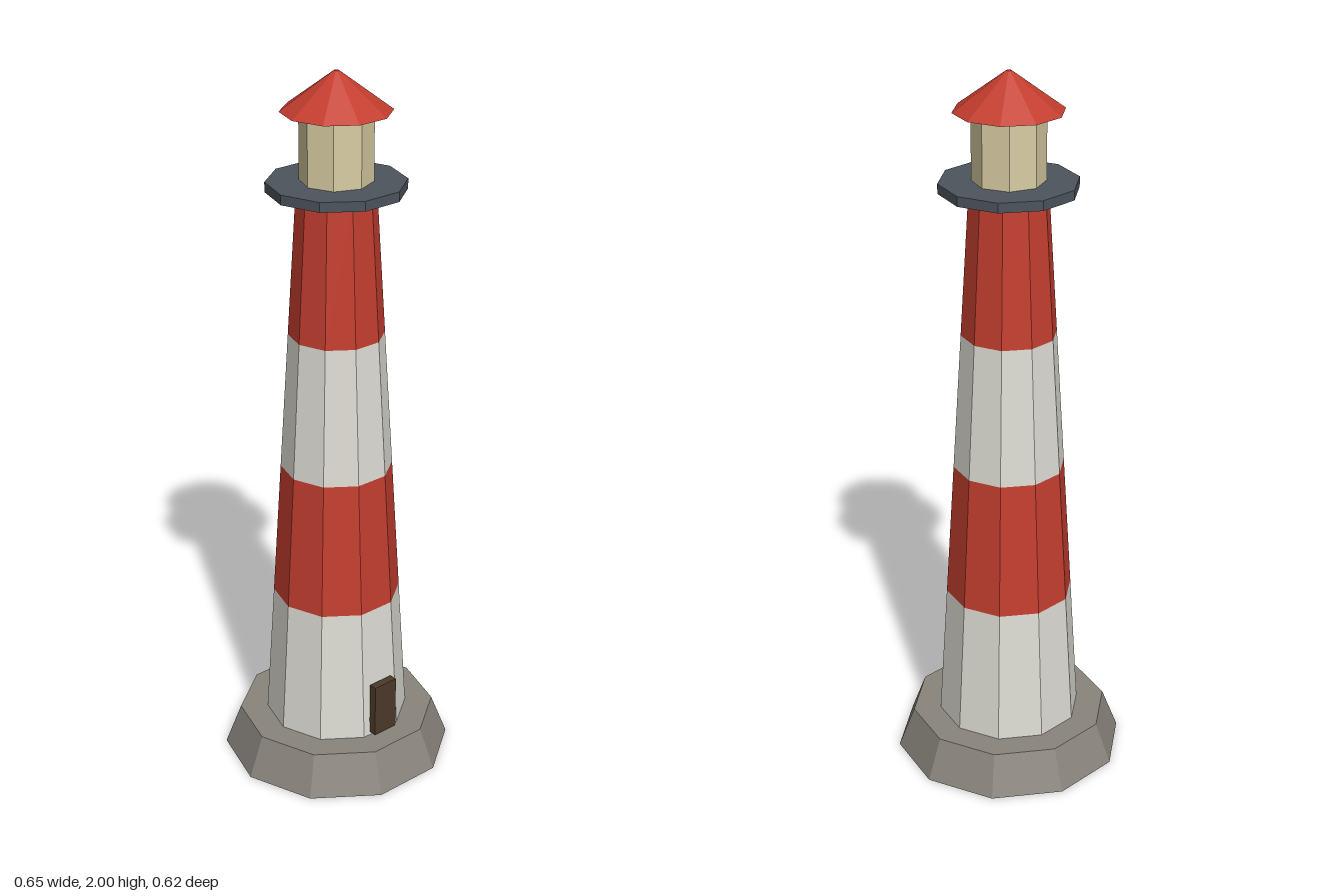
import * as THREE from 'three';

const paint = (name, color) => {
  const m = new THREE.MeshStandardMaterial({ color, flatShading: true });
  m.name = name;
  return m;
};

export function createModel() {
  const group = new THREE.Group();
  const stone = paint('stone', 0x8a857d);
  const white = paint('white', 0xdedcd4);
  const red = paint('red', 0xc43e2f);
  const slate = paint('slate', 0x4d545c);
  const glass = paint('lantern glass', 0xd9cda3);
  const wood = paint('door wood', 0x4d3a2a);

  // Upright faceted ring from y0 to y1; ten-sided parts have a flat side facing front
  const drum = (name, r0, r1, y0, y1, material, sides = 10, open = false) => {
    const geo = new THREE.CylinderGeometry(r1, r0, y1 - y0, sides, 1, open);
    if (sides === 10) geo.rotateY(Math.PI / 10);
    const mesh = new THREE.Mesh(geo, material);
    mesh.name = name;
    mesh.position.y = (y0 + y1) / 2;
    group.add(mesh);
  };

  drum('base', 0.325, 0.28, 0, 0.117, stone);

  // Tapered tower in four alternating bands
  const bottom = 0.117, top = 1.675, bands = 4;
  const radius = (t) => THREE.MathUtils.lerp(0.202, 0.107, t);
  const height = (t) => THREE.MathUtils.lerp(bottom, top, t);
  for (let i = 0; i < bands; i++) {
    const a = i / bands, b = (i + 1) / bands;
    drum(`towerBand${i + 1}`, radius(a), radius(b), height(a), height(b),
      i % 2 ? red : white, 10, i < bands - 1);
  }

  // Gallery, lantern room and roof
  drum('gallery', 0.187, 0.187, 1.684, 1.711, slate);
  drum('lantern', 0.098, 0.098, 1.711, 1.896, glass, 8);
  drum('roof', 0.148, 0.007, 1.896, 2, red);

  // Door
  const door = new THREE.Mesh(new THREE.BoxGeometry(0.078, 0.156, 0.023), wood);
  door.name = 'door';
  door.position.set(0, 0.203, 0.201);
  group.add(door);

  return group;
}
